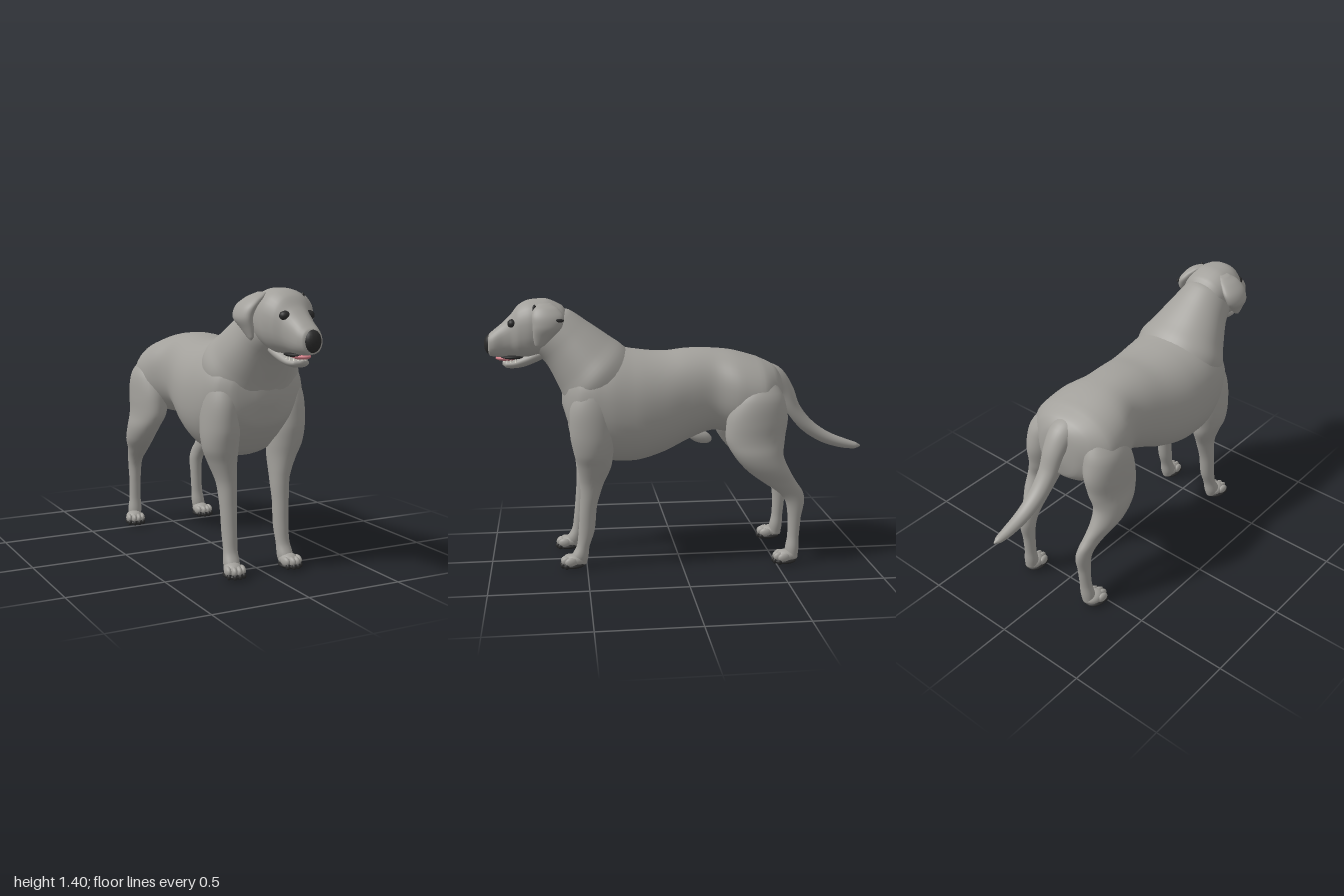
import * as THREE from 'three';

const mat = (name, color) => {
  const m = new THREE.MeshStandardMaterial({ color });
  m.name = name;
  return m;
};

// Smooth skin through rows of [x, y, z, half width, half depth].
// The rings lie across the fixed normal, or across the path if there is none.
function loft(rows, { normal = null, power = 2, side = 1, steps = 5, around = 32 } = {}) {
  const centre = new THREE.CatmullRomCurve3(rows.map(r => new THREE.Vector3(r[0] * side, r[1], r[2])));
  const radius = new THREE.CatmullRomCurve3(rows.map(r => new THREE.Vector3(r[3], r[4], 0)));
  const count = (rows.length - 1) * steps;
  const X = new THREE.Vector3(1, 0, 0);
  const pos = [], index = [];
  const heading = centre.getPoint(1).sub(centre.getPoint(0));
  const bend = v => Math.sign(v) * Math.abs(v) ** (2 / power);
  for (let i = 0; i <= count; i++) {
    const t = i / count, c = centre.getPoint(t), r = radius.getPoint(t);
    const N = normal ? normal.clone().multiplyScalar(Math.sign(heading.dot(normal))) : centre.getTangent(t).setX(0);
    const U = N.normalize().cross(X);
    for (let j = 0; j < around; j++) {
      const a = j / around * Math.PI * 2;
      const p = c.clone().addScaledVector(X, bend(Math.cos(a)) * Math.max(r.x, 0.001));
      p.addScaledVector(U, bend(Math.sin(a)) * Math.max(r.y, 0.001));
      pos.push(p.x, p.y, p.z);
    }
  }
  for (let i = 0; i < count; i++) for (let j = 0; j < around; j++) {
    const k = (j + 1) % around, a = i * around, b = a + around;
    index.push(a + j, a + k, b + k, a + j, b + k, b + j);
  }
  // end caps
  const first = pos.length / 3, last = count * around;
  pos.push(...centre.getPoint(0).toArray(), ...centre.getPoint(1).toArray());
  for (let j = 0; j < around; j++) {
    const k = (j + 1) % around;
    index.push(first, k, j, first + 1, last + j, last + k);
  }
  const g = new THREE.BufferGeometry();
  g.setAttribute('position', new THREE.Float32BufferAttribute(pos, 3));
  g.setIndex(index);
  g.computeVertexNormals();
  return g;
}

export function createModel() {
  const dog = new THREE.Group();
  dog.name = 'dog';
  const coat = mat('coat grey', 0xa2a09b);
  const dark = mat('dark skin', 0x2a2a2a);
  const pink = mat('tongue pink', 0xd07c85);
  const ivory = mat('tooth ivory', 0xe0ddd2);
  const Y = new THREE.Vector3(0, 1, 0), Z = new THREE.Vector3(0, 0, 1);

  const add = (name, geometry, material, parent = dog) => {
    const m = new THREE.Mesh(geometry, material);
    m.name = name;
    parent.add(m);
    return m;
  };
  const blob = (name, material, p, s, parent = dog) => {
    const m = add(name, new THREE.SphereGeometry(1, 20, 14), material, parent);
    m.position.set(...p);
    m.scale.set(...s);
    return m;
  };

  // Trunk from rump to chest
  add('trunk', loft([
    [0, 0.85, -0.56, 0.02, 0.03], [0, 0.865, -0.54, 0.12, 0.13], [0, 0.873, -0.50, 0.20, 0.172],
    [0, 0.883, -0.42, 0.26, 0.20], [0, 0.90, -0.30, 0.25, 0.217], [-0.002, 0.915, -0.17, 0.203, 0.218],
    [-0.005, 0.893, -0.05, 0.22, 0.24], [-0.005, 0.855, 0.08, 0.25, 0.265], [-0.005, 0.84, 0.22, 0.274, 0.292],
    [-0.005, 0.85, 0.34, 0.278, 0.303], [-0.005, 0.865, 0.44, 0.268, 0.28], [0, 0.88, 0.52, 0.24, 0.22],
    [0, 0.89, 0.575, 0.175, 0.155], [0, 0.90, 0.61, 0.04, 0.05],
  ], { normal: Z, power: 2.2, around: 48 }), coat);
  blob('bellySheath', coat, [0, 0.66, -0.115], [0.03, 0.036, 0.07]).rotation.x = -0.35;

  // Neck, spreading into the withers and shoulders
  add('neck', loft([
    [0, 0.86, 0.25, 0.12, 0.12], [0, 0.93, 0.36, 0.235, 0.204], [0, 1.0, 0.433, 0.25, 0.21],
    [0, 1.077, 0.495, 0.212, 0.184], [0, 1.18, 0.585, 0.16, 0.15], [0, 1.245, 0.665, 0.128, 0.14],
    [0, 1.28, 0.70, 0.09, 0.09],
  ], { normal: new THREE.Vector3(0, 1, 1).normalize(), power: 2.1, around: 48 }), coat);

  // Head with muzzle
  const head = new THREE.Group();
  head.name = 'head';
  dog.add(head);
  add('skullAndMuzzle', loft([
    [0, 1.265, 0.55, 0.04, 0.03], [0, 1.265, 0.60, 0.115, 0.10], [0, 1.262, 0.68, 0.136, 0.139],
    [0, 1.25, 0.76, 0.132, 0.148], [0.002, 1.237, 0.82, 0.11, 0.134], [0.004, 1.214, 0.86, 0.083, 0.109],
    [0.007, 1.194, 0.90, 0.07, 0.09], [0.011, 1.178, 0.945, 0.064, 0.07],
    [0.014, 1.17, 0.972, 0.052, 0.056], [0.015, 1.167, 0.985, 0.02, 0.02],
  ], { normal: Z, power: 2.25 }), coat, head);
  blob('nose', dark, [0.015, 1.172, 0.964], [0.046, 0.054, 0.036], head);
  blob('mouthLining', dark, [0.006, 1.106, 0.855], [0.058, 0.014, 0.072], head);
  blob('tongue', pink, [0.008, 1.099, 0.885], [0.04, 0.015, 0.06], head);
  add('lowerJaw', loft([
    [0, 1.14, 0.66, 0.06, 0.03], [0, 1.11, 0.74, 0.068, 0.036], [0.002, 1.085, 0.80, 0.061, 0.033],
    [0.004, 1.07, 0.85, 0.053, 0.025], [0.006, 1.068, 0.89, 0.043, 0.02], [0.006, 1.072, 0.91, 0.01, 0.008],
  ], { normal: Z }), coat, head);
  for (let i = 0; i < 9; i++) {
    const a = (i / 8 - 0.5) * Math.PI;
    const tooth = add('tooth', new THREE.ConeGeometry(0.006, 0.02, 8), ivory, head);
    tooth.position.set(0.006 + Math.sin(a) * 0.046, 1.09, 0.84 + Math.cos(a) * 0.062);
  }

  // Eyes and hanging ears
  for (const s of [1, -1]) {
    blob('eye', dark, [s * 0.062 + 0.005, 1.281, 0.852], [0.029, 0.023, 0.024], head);
    const o = s < 0 ? 0.033 : 0;
    add('ear', loft([
      [0.144 + o / 2, 1.165, 0.72, 0.003, 0.006], [0.143 + o / 2, 1.178, 0.715, 0.012, 0.025],
      [0.143 + o * 0.7, 1.215, 0.70, 0.024, 0.047], [0.145 + o, 1.265, 0.677, 0.036, 0.072],
      [0.134 + o * 0.8, 1.315, 0.672, 0.038, 0.08], [0.108 + o / 3, 1.358, 0.68, 0.034, 0.062],
      [0.082, 1.382, 0.685, 0.02, 0.03],
    ], { normal: Y, side: s }), coat, head);
  }
  blob('earMark', dark, [0.162, 1.303, 0.622], [0.009, 0.01, 0.03], head);
  blob('earCrease', dark, [0.104, 1.355, 0.738], [0.009, 0.024, 0.01], head);

  // Paw with toes, claws and dark pads
  const paw = (name, x, z, s) => {
    const g = new THREE.Group();
    g.name = name;
    g.position.set(x * s, 0, z);
    g.rotation.y = s * 0.12;
    dog.add(g);
    blob('pawTop', coat, [0, 0.043, -0.005], [0.045, 0.034, 0.056], g);
    blob('pad', dark, [0, 0.018, 0.006], [0.053, 0.018, 0.063], g);
    for (const t of [-1.5, -0.5, 0.5, 1.5]) {
      const front = 0.038 - (Math.abs(t) > 1 ? 0.016 : 0);
      blob('toe', coat, [t * 0.025, 0.042, front], [0.016, 0.024, 0.032], g);
      blob('claw', dark, [t * 0.026, 0.02, front + 0.023], [0.011, 0.015, 0.014], g);
    }
  };

  // Legs, the right pair standing slightly wider
  for (const s of [1, -1]) {
    const ahead = s < 0 ? 0.012 : -0.008;
    const wide = s < 0 ? 0.02 : -0.006;
    const stance = r => [r[0] + wide * Math.max(0, 1 - r[1] / 0.8), r[1], r[2] + ahead * (1 - r[1]), r[3], r[4]];
    add('frontLeg', loft([
      [0.15, 0.02, 0.55, 0.03, 0.04], [0.15, 0.06, 0.545, 0.04, 0.045], [0.147, 0.12, 0.525, 0.036, 0.034],
      [0.145, 0.20, 0.506, 0.038, 0.042], [0.147, 0.33, 0.493, 0.042, 0.044], [0.15, 0.45, 0.473, 0.05, 0.06],
      [0.167, 0.55, 0.457, 0.07, 0.087], [0.18, 0.62, 0.46, 0.086, 0.10], [0.184, 0.72, 0.458, 0.093, 0.12],
      [0.18, 0.85, 0.45, 0.09, 0.125], [0.165, 0.97, 0.42, 0.078, 0.11], [0.13, 1.06, 0.39, 0.04, 0.06],
    ].map(stance), { normal: Y, side: s }), coat);
    paw('frontPaw', 0.155 + wide, 0.575 + ahead, s);

    add('hindLeg', loft([
      [0.21, 0.03, -0.58, 0.035, 0.035], [0.205, 0.08, -0.585, 0.038, 0.036], [0.20, 0.15, -0.592, 0.032, 0.031],
      [0.197, 0.25, -0.597, 0.032, 0.035], [0.197, 0.34, -0.597, 0.035, 0.051], [0.203, 0.39, -0.572, 0.037, 0.066],
      [0.215, 0.45, -0.51, 0.047, 0.088], [0.23, 0.52, -0.445, 0.066, 0.112], [0.226, 0.60, -0.395, 0.078, 0.13],
      [0.204, 0.68, -0.38, 0.088, 0.155], [0.194, 0.78, -0.39, 0.096, 0.16], [0.178, 0.90, -0.40, 0.097, 0.13],
      [0.13, 1.01, -0.40, 0.06, 0.07],
    ], { normal: Y, side: s }), coat);
    paw('hindPaw', 0.212 + wide / 2, -0.552, s);
  }

  // Tail curving back
  add('tail', loft([
    [0, 1.0, -0.42, 0.085, 0.06], [0, 0.978, -0.505, 0.072, 0.06], [0, 0.908, -0.571, 0.06, 0.047],
    [0.002, 0.80, -0.622, 0.05, 0.039], [0.004, 0.705, -0.70, 0.045, 0.037], [0.006, 0.638, -0.80, 0.038, 0.033],
    [0.008, 0.602, -0.90, 0.03, 0.027], [0.01, 0.587, -0.97, 0.02, 0.018], [0.01, 0.584, -1.0, 0.003, 0.003],
  ]), coat);

  return dog;
}
